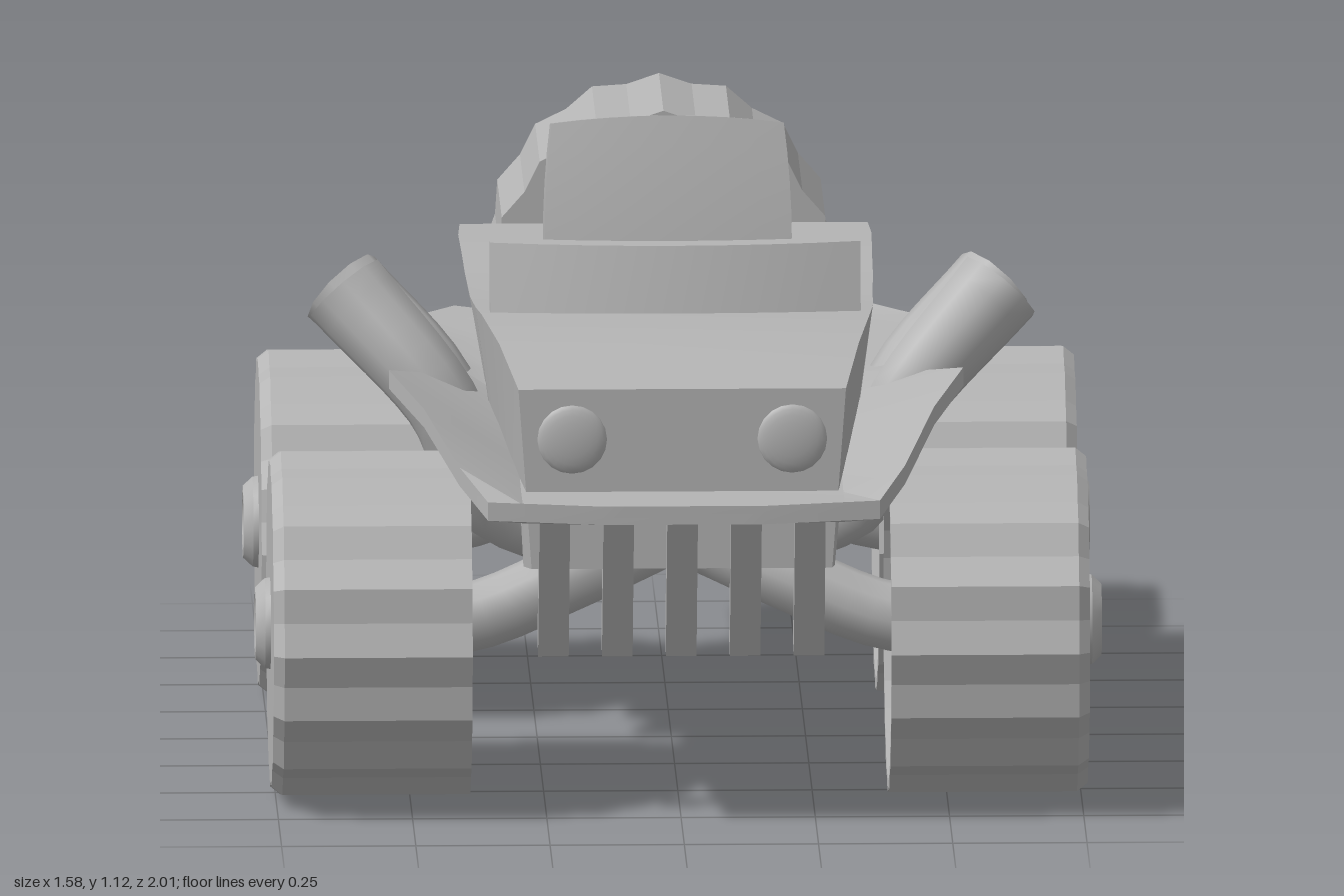
import * as THREE from 'three';
import { toCreasedNormals } from 'three/addons/utils/BufferGeometryUtils.js';

const grey = new THREE.MeshStandardMaterial({ color: 0xb4b4b4, side: THREE.DoubleSide });
grey.name = 'plain grey';

function add(parent, name, geometry, x = 0, y = 0, z = 0) {
  const mesh = new THREE.Mesh(geometry, grey);
  mesh.name = name;
  mesh.position.set(x, y, z);
  parent.add(mesh);
  return mesh;
}

// Skins closed outlines, listed front to back, counter-clockwise seen from the front.
function loft(sections) {
  const pos = [];
  const put = (s, j) => pos.push(s.pts[j][0], s.pts[j][1], s.z);
  const n = sections[0].pts.length;
  for (let i = 0; i < sections.length - 1; i++) {
    const p = sections[i], q = sections[i + 1];
    for (let j = 0; j < n; j++) {
      const k = (j + 1) % n;
      put(p, j); put(q, j); put(q, k);
      put(p, j); put(q, k); put(p, k);
    }
  }
  [sections[0], sections[sections.length - 1]].forEach((s, end) => {
    const outline = s.pts.map(p => new THREE.Vector2(p[0], p[1]));
    for (const [a, b, c] of THREE.ShapeUtils.triangulateShape(outline, [])) {
      put(s, a); put(s, end ? c : b); put(s, end ? b : c);
    }
  });
  const g = new THREE.BufferGeometry();
  g.setAttribute('position', new THREE.Float32BufferAttribute(pos, 3));
  return toCreasedNormals(g, 0.35);
}

// Mirrors the right half of an outline (bottom to top) to make it whole.
const mirror = half => [...half, ...half.slice().reverse().map(([x, y]) => [-x, y])];

// Round tube whose radius runs from r0 to r1.
function taperedTube(points, r0, r1, sides = 10, steps = 14) {
  const curve = new THREE.CatmullRomCurve3(points.map(p => new THREE.Vector3(...p)));
  const g = new THREE.TubeGeometry(curve, steps, 1, sides);
  const p = g.attributes.position, v = new THREE.Vector3();
  for (let i = 0; i < p.count; i++) {
    const t = Math.floor(i / (sides + 1)) / steps;
    const c = curve.getPointAt(t);
    v.fromBufferAttribute(p, i).sub(c).multiplyScalar(r0 + (r1 - r0) * t).add(c);
    p.setXYZ(i, v.x, v.y, v.z);
  }
  return toCreasedNormals(g, 0.9);
}

// Box with bulging, rounded faces.
function cushion(w, h, d, round) {
  const g = new THREE.BoxGeometry(w, h, d, 8, 8, 4);
  const p = g.attributes.position;
  for (let i = 0; i < p.count; i++) {
    const x = p.getX(i) / w * 2, y = p.getY(i) / h * 2, z = p.getZ(i) / d * 2;
    p.setXYZ(i, p.getX(i) * (1 - round * y * y), p.getY(i) * (1 - round * x * x),
      p.getZ(i) * (1 - round * 1.6 * (x * x + y * y) * Math.abs(z)));
  }
  return toCreasedNormals(g, 0.6);
}

const profile = pts => pts.map(p => new THREE.Vector2(...p));

// Wheel along +y: hollow on the inside, toothed tread, closed outer face.
function makeWheel(name) {
  const wheel = new THREE.Group();
  wheel.name = name;
  const pts = profile([[0, 0.31], [0.29, 0.31], [0.298, 0], [0.326, 0], [0.326, 0.35], [0.31, 0.37], [0, 0.37]]);
  let tyre = new THREE.LatheGeometry(pts, 32);
  const p = tyre.attributes.position;
  for (let i = 0; i < p.count; i++) {
    const j = i % pts.length, tooth = Math.floor(i / pts.length) % 2;
    if (tooth && j >= 3 && j <= 5) p.setXYZ(i, p.getX(i) * 0.955, p.getY(i), p.getZ(i) * 0.955);
  }
  tyre = tyre.toNonIndexed();
  tyre.computeVertexNormals();
  add(wheel, 'tyre', tyre);
  add(wheel, 'hub', toCreasedNormals(new THREE.LatheGeometry(
    profile([[0.088, 0.365], [0.085, 0.38], [0.068, 0.398], [0.055, 0.398], [0.045, 0.383], [0, 0.383]]), 16), 0.5));
  return wheel;
}

export function createModel() {
  const car = new THREE.Group();
  car.name = 'buggy';

  // Wheels and axle arms
  for (const s of [1, -1]) {
    for (const z of [0.52, -0.42]) {
      const wheel = makeWheel(z > 0 ? 'frontWheel' : 'rearWheel');
      wheel.position.set(s * 0.39, 0.328, z);
      wheel.rotation.z = -s * Math.PI / 2;
      car.add(wheel);
      add(car, 'axleArm', taperedTube(
        [[s * 0.05, 0.47, z * 0.85], [s * 0.2, 0.41, z * 0.95], [s * 0.4, 0.335, z], [s * 0.71, 0.33, z]], 0.065, 0.065));
    }
  }
  const spare = makeWheel('spareWheel');
  spare.position.set(0, 0.74, -0.61);
  spare.rotation.x = -Math.PI / 2;
  car.add(spare);
  add(car, 'spareMount', new THREE.CylinderGeometry(0.06, 0.06, 0.4, 12).rotateX(Math.PI / 2), 0, 0.74, -0.73);

  // Hood: [z, bottom half width, bottom y, top half width, top y]
  const solid = ([z, xb, yb, xt, yt]) => ({ z, pts: mirror([[xb, yb], [xt, yt]]) });
  add(car, 'hood', loft([
    [0.84, 0.29, 0.63, 0.305, 0.835], [0.6, 0.31, 0.64, 0.335, 0.873], [0.36, 0.33, 0.65, 0.362, 0.88],
    [0.22, 0.34, 0.65, 0.37, 0.865]].map(solid)));

  // Open cockpit tub: [z, bottom half width, top half width, top y, inner half width]
  add(car, 'cockpit', loft([
    [0.22, 0.34, 0.37, 0.865, 0.265], [0, 0.34, 0.375, 0.84, 0.28], [-0.2, 0.34, 0.38, 0.845, 0.295],
    [-0.35, 0.34, 0.382, 0.85, 0.3]].map(([z, xb, xt, yt, xi]) => ({
    z, pts: mirror([[xb, 0.64], [xt, yt], [xi, yt], [0.23, 0.665]]) }))));
  add(car, 'rearDeck', loft([
    [-0.35, 0.34, 0.64, 0.382, 0.85], [-0.5, 0.345, 0.65, 0.385, 0.855], [-0.6, 0.34, 0.7, 0.38, 0.855]].map(solid)));

  // Flared skirt: [z, outer half width, outer y, inner half width, inner y]
  add(car, 'skirt', loft([
    [1.0, 0.15, 0.645, 0.1, 0.645], [0.98, 0.365, 0.65, 0.3, 0.645], [0.85, 0.415, 0.69, 0.3, 0.64],
    [0.6, 0.475, 0.75, 0.3, 0.65], [0.36, 0.535, 0.775, 0.31, 0.67], [0.13, 0.425, 0.72, 0.32, 0.68],
    [-0.13, 0.41, 0.69, 0.32, 0.67], [-0.4, 0.44, 0.68, 0.32, 0.67], [-0.56, 0.46, 0.69, 0.32, 0.68],
    [-0.6, 0.39, 0.7, 0.31, 0.69]].map(([z, ox, oy, ix, iy]) => ({
    z, pts: [[-ox, oy - 0.035], [-ix, iy - 0.035], [ix, iy - 0.035], [ox, oy - 0.035],
      [ox, oy], [ix, iy], [-ix, iy], [-ox, oy]] }))));

  // Underbody
  add(car, 'underbody', loft([
    [0.82, 0.28, 0.49, 0.29, 0.63], [0.6, 0.29, 0.45, 0.3, 0.64], [0.35, 0.28, 0.44, 0.32, 0.66],
    [0.14, 0.25, 0.37, 0.32, 0.66], [-0.1, 0.25, 0.37, 0.32, 0.66], [-0.32, 0.24, 0.47, 0.31, 0.66],
    [-0.57, 0.22, 0.6, 0.3, 0.67]].map(solid)));

  // Slanted grille bars
  for (let i = -2; i <= 2; i++) {
    const bar = add(car, 'grilleBar', new THREE.BoxGeometry(0.057, 0.32, 0.055), i * 0.119, 0.47, 0.795);
    bar.rotation.x = 0.38;
  }

  // Headlights
  for (const s of [1, -1]) {
    const lamp = add(car, 'headlight', new THREE.SphereGeometry(0.066, 20, 6, 0, Math.PI * 2, 0, Math.PI / 2), s * 0.205, 0.74, 0.838);
    lamp.rotation.x = Math.PI / 2;
    lamp.scale.y = 0.25;
  }

  // Exhaust pipes
  for (const s of [1, -1]) {
    add(car, 'frontExhaust', taperedTube(
      [[s * 0.22, 0.4, 0.09], [s * 0.35, 0.48, 0.13], [s * 0.43, 0.67, 0.165], [s * 0.61, 0.87, 0.075]], 0.055, 0.085));
    add(car, 'rearExhaust', taperedTube(
      [[s * 0.22, 0.39, -0.01], [s * 0.35, 0.47, -0.04], [s * 0.44, 0.66, -0.09], [s * 0.61, 0.82, -0.195]], 0.055, 0.085));
  }

  // Bowed windscreen
  const screen = new THREE.BoxGeometry(0.69, 0.135, 0.045, 8, 1, 1);
  const sp = screen.attributes.position;
  for (let i = 0; i < sp.count; i++) {
    sp.setZ(i, sp.getZ(i) - sp.getX(i) ** 2 * 0.32 - sp.getY(i) * 0.25);
  }
  add(car, 'windscreen', toCreasedNormals(screen, 0.5), 0, 0.935, 0.325);

  // Seat
  const back = add(car, 'seatBack', cushion(0.46, 0.46, 0.17, 0.06), 0, 0.885, -0.305);
  back.rotation.x = -0.2;
  add(car, 'seatCushion', cushion(0.44, 0.14, 0.34, 0.05), 0, 0.72, -0.07);

  // Steering wheel
  const steering = new THREE.Group();
  steering.name = 'steeringWheel';
  steering.position.set(0, 0.9, 0.19);
  steering.rotation.x = 0.45;
  steering.scale.y = 0.85;
  add(steering, 'rim', new THREE.TorusGeometry(0.092, 0.014, 8, 20));
  add(steering, 'boss', new THREE.CylinderGeometry(0.03, 0.03, 0.03, 12).rotateX(Math.PI / 2));
  for (let i = 0; i < 3; i++) {
    const spoke = add(steering, 'spoke', new THREE.BoxGeometry(0.02, 0.09, 0.012).translate(0, 0.045, 0));
    spoke.rotation.z = Math.PI / 3 + i * Math.PI * 2 / 3;
  }
  add(steering, 'column', new THREE.CylinderGeometry(0.016, 0.016, 0.12, 8).rotateX(Math.PI / 2), 0, 0, 0.06);
  car.add(steering);

  return car;
}
